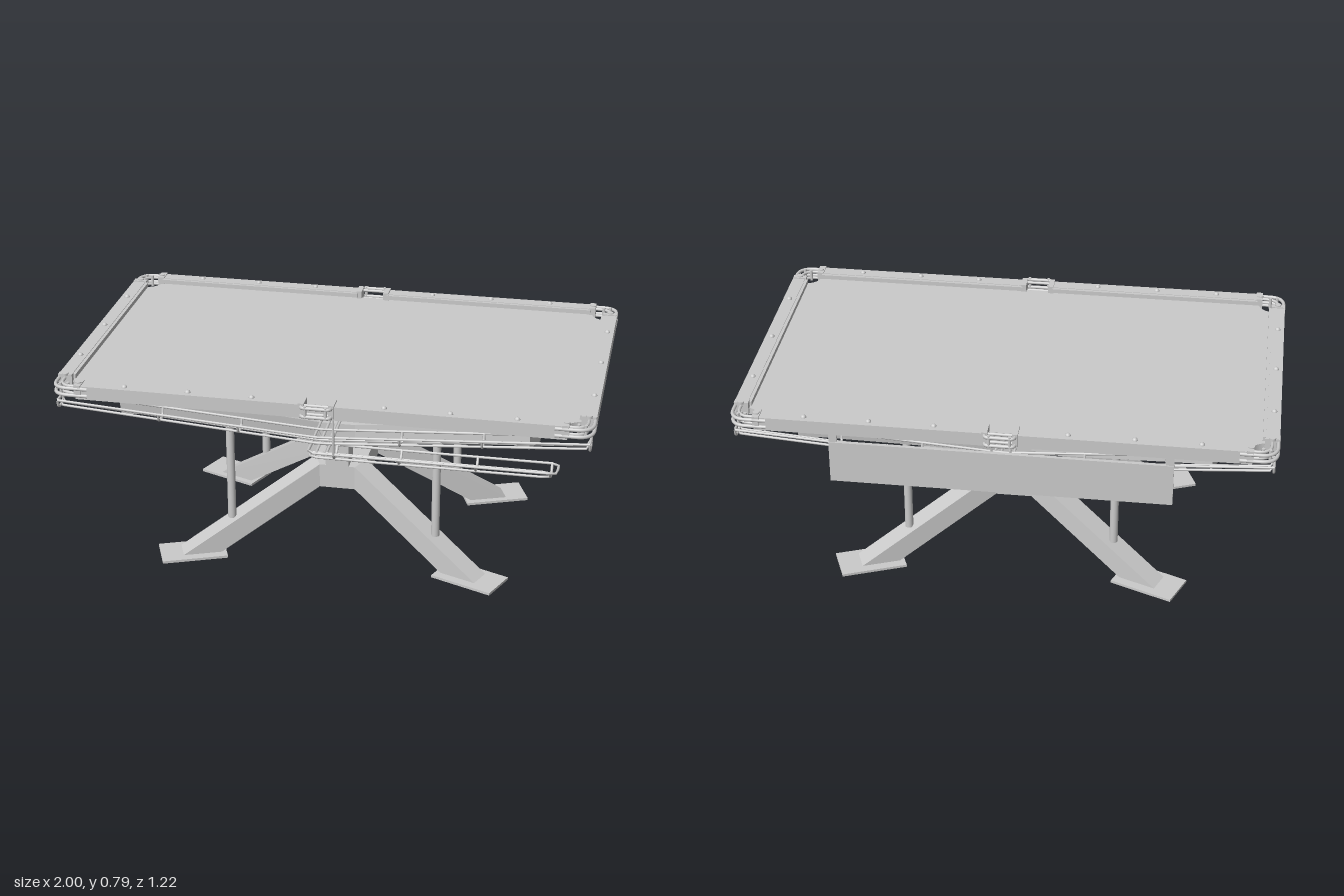
import * as THREE from 'three';
import { ConvexGeometry } from 'three/addons/geometries/ConvexGeometry.js';

const V = (x, y, z) => new THREE.Vector3(x, y, z);
const SIGNS = [-1, 1];
const QUADRANTS = [[1, 1], [1, -1], [-1, 1], [-1, -1]];

export function createModel() {
  const model = new THREE.Group();
  const material = new THREE.MeshStandardMaterial({ color: 0xcccccc });

  const add = (name, geometry, x = 0, y = 0, z = 0) => {
    const mesh = new THREE.Mesh(geometry, material);
    mesh.name = name;
    mesh.position.set(x, y, z);
    model.add(mesh);
    return mesh;
  };
  const box = (name, x0, x1, y0, y1, z0, z1) => add(name,
    new THREE.BoxGeometry(Math.abs(x1 - x0), y1 - y0, Math.abs(z1 - z0)),
    (x0 + x1) / 2, (y0 + y1) / 2, (z0 + z1) / 2);
  const rod = (name, r, x, y0, y1, z) => add(name,
    new THREE.CylinderGeometry(r, r, y1 - y0, 20), x, (y0 + y1) / 2, z);

  // Wire through points, with corners rounded by a short bend
  const wire = (name, points, r = 0.005, bend = 0.02) => {
    const path = new THREE.CurvePath();
    let last = points[0];
    for (let i = 1; i < points.length - 1; i++) {
      const p = points[i];
      const toward = (q) => p.clone().lerp(q, Math.min(0.45, bend / p.distanceTo(q)));
      const a = toward(points[i - 1]), b = toward(points[i + 1]);
      path.add(new THREE.LineCurve3(last, a));
      path.add(new THREE.QuadraticBezierCurve3(a, p, b));
      last = b;
    }
    path.add(new THREE.LineCurve3(last, points[points.length - 1]));
    return add(name, new THREE.TubeGeometry(path, points.length * 12, r, 8));
  };

  // Pair of corners across a diagonal beam centred at (x, z)
  const edge = (x, y, z, sx, sz) => [
    V(sx * (x + 0.016), y, sz * (z - 0.04)), V(sx * (x - 0.016), y, sz * (z + 0.04))];

  // Hubs and the two posts between them
  for (const [name, y0, y1] of [['lowerHub', 0.26, 0.355], ['upperHub', 0.455, 0.535]]) {
    const corners = QUADRANTS.flatMap(([sx, sz]) =>
      [y0, y1].flatMap((y) => edge(0.085, y, 0.165, sx, sz)));
    add(name, new ConvexGeometry(corners));
  }
  for (const s of SIGNS) box('hubPost', -0.045, 0.045, 0.355, 0.455, s * 0.115, s * 0.205);

  for (const [sx, sz] of QUADRANTS) {
    const beam = (name, ...edges) => add(name,
      new ConvexGeometry(edges.flatMap((e) => edge(...e, sx, sz))));

    // Splayed leg on a flat foot
    beam('leg', [0.085, 0.355, 0.165], [0.085, 0.26, 0.165], [0.585, 0.01, 0.365], [0.447, 0.01, 0.31]);
    add('foot', new THREE.BoxGeometry(0.254, 0.01, 0.145), sx * 0.545, 0.005, sz * 0.355)
      .rotation.y = -sx * sz * 0.385;

    // Rising arm with a level end and a levelling pad
    beam('arm', [0.085, 0.535, 0.165], [0.085, 0.455, 0.165], [0.71, 0.71, 0.415], [0.71, 0.63, 0.415]);
    beam('armEnd', [0.71, 0.71, 0.415], [0.71, 0.63, 0.415], [0.78, 0.71, 0.443], [0.78, 0.63, 0.443]);
    rod('padStem', 0.013, sx * 0.745, 0.705, 0.735, sz * 0.432);
    rod('padDisc', 0.03, sx * 0.745, 0.722, 0.732, sz * 0.432);

    // Slim support pole
    rod('supportPole', 0.016, sx * 0.4, 0.14, 0.735, sz * 0.292);
    rod('poleFlange', 0.03, sx * 0.4, 0.724, 0.732, sz * 0.292);
  }

  // Playing bed with scooped corners
  const bed = new THREE.Shape();
  const bx = 0.955, bz = 0.545, scoop = 0.058;
  bed.moveTo(-bx + scoop, -bz);
  [[bx, -bz, Math.PI], [bx, bz, -Math.PI / 2], [-bx, bz, 0], [-bx, -bz, Math.PI / 2]]
    .forEach(([x, y, a]) => bed.absarc(x, y, scoop, a, a - Math.PI / 2, true));
  const bedGeometry = new THREE.ExtrudeGeometry(bed, { depth: 0.028, bevelEnabled: false, curveSegments: 10 });
  bedGeometry.rotateX(-Math.PI / 2);
  add('playingBed', bedGeometry, 0, 0.73, 0);

  // Rails, each with a cushion lip, and sight studs
  const stud = (x, z) => add('sightStud', new THREE.SphereGeometry(0.011, 12, 8), x, 0.781, z);
  for (const s of SIGNS) {
    for (const t of SIGNS) {
      box('longRail', t * 0.06, t * 0.905, 0.73, 0.782, s * 0.537, s * 0.588);
      box('longCushion', t * 0.06, t * 0.89, 0.763, 0.78, s * 0.525, s * 0.537);
      for (const x of [0.244, 0.484, 0.724]) stud(t * x, s * 0.562);
    }
    box('endRail', s * 0.95, s, 0.73, 0.782, -0.493, 0.493);
    box('endCushion', s * 0.938, s * 0.95, 0.763, 0.78, -0.48, 0.48);
    for (const z of [-0.305, 0, 0.305]) stud(s * 0.975, z);
  }

  // Corner pockets: stacked bands round the corner with clamps on the rail ends
  for (const [sx, sz] of QUADRANTS) {
    const loop = (inset, y) => [
      V(sx * 0.86, y, sz * (0.588 - inset)), V(sx * (0.995 - inset), y, sz * (0.588 - inset)),
      V(sx * (0.995 - inset), y, sz * 0.45)];
    for (const y of [0.744, 0.771]) {
      wire('cornerBand', loop(0, y), 0.007, 0.07);
      wire('cornerInnerBand', loop(0.022, y), 0.006, 0.05);
    }
    for (const inset of [0.002, 0.028]) {
      rod('cornerPin', 0.006, sx * (0.97 - inset), 0.736, 0.782, sz * (0.565 - inset * 0.2));
    }
    box('cornerClamp', sx * 0.885, sx * 0.91, 0.738, 0.786, sz * 0.533, sz * 0.592);
    box('cornerClamp', sx * 0.946, sx * 0.999, 0.738, 0.786, sz * 0.478, sz * 0.5);
    rod('clampKnob', 0.012, sx * 0.9, 0.78, 0.79, sz * 0.562);
    rod('clampKnob', 0.012, sx * 0.973, 0.78, 0.79, sz * 0.495);
  }

  // Side pockets: bracket loops bridging the gap in each long rail
  for (const s of SIGNS) {
    for (const y of [0.742, 0.776]) {
      wire('sideBand', [V(-0.055, y, s * 0.54), V(-0.055, y, s * 0.604),
        V(0.055, y, s * 0.604), V(0.055, y, s * 0.54)], 0.007, 0.015);
      wire('sideCrossBar', [V(-0.06, y, s * 0.578), V(0.06, y, s * 0.578)], 0.006);
    }
    for (const t of SIGNS) {
      box('sideClamp', t * 0.045, t * 0.066, 0.736, 0.788, s * 0.53, s * 0.592);
      rod('sidePin', 0.006, t * 0.038, 0.736, 0.784, s * 0.604);
    }
  }

  // Ball return tracks falling from the corners to the middle of each long side
  for (const s of SIGNS) {
    for (const z of [0.495, 0.565]) {
      wire('returnSideWire', [V(-0.985, 0.708, s * z), V(0, 0.645, s * z), V(0.985, 0.708, s * z)]);
    }
    for (const z of [0.515, 0.545]) {
      wire('returnFloorWire', [V(-0.985, 0.708, s * z), V(-0.985, 0.682, s * z), V(0, 0.612, s * z),
        V(0.985, 0.682, s * z), V(0.985, 0.708, s * z)]);
    }
    for (const x of [-0.985, -0.6, -0.3, 0.3, 0.6, 0.985]) {
      const y = 0.645 + 0.064 * Math.abs(x);
      wire('trackHoop', [V(x, y, s * 0.495), V(x, y - 0.033, s * 0.505),
        V(x, y - 0.033, s * 0.555), V(x, y, s * 0.565)]);
    }
    for (const x of [-0.985, 0.985]) {
      wire('trackEnd', [V(x, 0.708, s * 0.495), V(x, 0.708, s * 0.565)]);
    }
  }

  // Cross track carrying balls from the back to the front
  for (const t of SIGNS) {
    wire('crossSideWire', [V(t * 0.035, 0.7, -0.56), V(t * 0.035, 0.612, -0.56),
      V(t * 0.035, 0.628, -0.3), V(t * 0.035, 0.59, 0.57)]);
    wire('crossFloorWire', [V(t * 0.015, 0.61, -0.5), V(t * 0.015, 0.6, -0.28), V(t * 0.015, 0.56, 0.55)]);
  }
  for (const z of [-0.28, -0.13, 0.15, 0.4]) {
    const y = 0.615 - 0.043 * z;
    wire('crossHoop', [V(-0.035, y, z), V(-0.02, y - 0.034, z), V(0.02, y - 0.034, z), V(0.035, y, z)]);
  }

  // Collecting tray along the front, with its hanger
  for (const [y, z0, z1, end] of [[0.588, 0.495, 0.58, 0.875], [0.56, 0.515, 0.555, 0.85]]) {
    wire('trayWire', [V(-0.035, y, z0), V(end, y, z0), V(end, y, z1), V(-0.035, y, z1), V(-0.035, y, z0)]);
  }
  for (const x of [0.06, 0.3, 0.58, 0.85]) {
    wire('trayHoop', [V(x, 0.588, 0.495), V(x, 0.56, 0.515), V(x, 0.56, 0.555), V(x, 0.588, 0.58)]);
  }
  wire('trayHanger', [V(0.062, 0.74, 0.583), V(0.062, 0.585, 0.583)], 0.004);

  // Board hung below the back rail
  box('backPanel', -0.63, 0.63, 0.533, 0.7, -0.592, -0.578);
  for (const s of SIGNS) box('panelHanger', s * 0.6, s * 0.63, 0.69, 0.735, -0.588, -0.58);

  return model;
}
